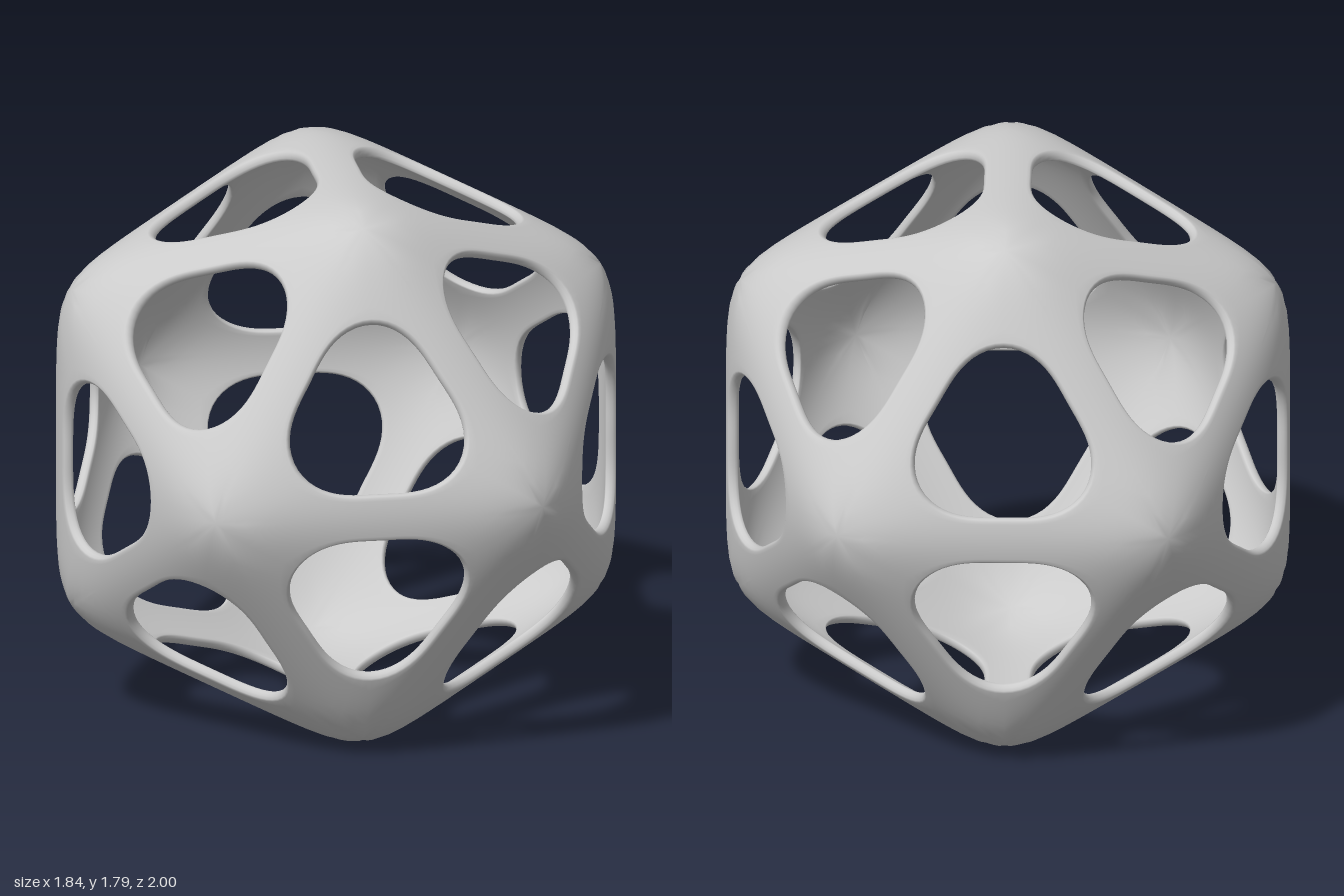
import * as THREE from 'three';
import { mergeVertices } from 'three/addons/utils/BufferGeometryUtils.js';

// Icosahedron corners: one at each z pole, two staggered rings of five between
function icosahedronCorners() {
  const corners = [new THREE.Vector3(0, 0, 1), new THREE.Vector3(0, 0, -1)];
  const ringZ = 1 / Math.sqrt(5), ringR = 2 / Math.sqrt(5);
  for (let i = 0; i < 5; i++) {
    const a = (i * 2 * Math.PI) / 5;
    corners.push(new THREE.Vector3(ringR * Math.cos(a), ringR * Math.sin(a), ringZ));
    corners.push(new THREE.Vector3(-ringR * Math.cos(a), -ringR * Math.sin(a), -ringZ));
  }
  return corners;
}

// Each face as a frame: outward normal n, u towards one corner, v across
function faceFrames(corners) {
  const frames = [];
  const near = (a, b) => a.dot(b) > 0.4;
  for (let i = 0; i < 12; i++)
    for (let j = i + 1; j < 12; j++)
      for (let k = j + 1; k < 12; k++) {
        const [a, b, c] = [corners[i], corners[j], corners[k]];
        if (!near(a, b) || !near(b, c) || !near(a, c)) continue;
        const n = a.clone().add(b).add(c).normalize();
        const u = a.clone().addScaledVector(n, -a.dot(n)).normalize();
        frames.push({ n, u, v: n.clone().cross(u) });
      }
  return frames;
}

export function createModel() {
  const frames = faceFrames(icosahedronCorners());

  // Distance from the centre to a softened icosahedron; a lower power is rounder
  const reach = (dir, h, power) => {
    let sum = 0;
    for (const f of frames) sum += Math.max(0, f.n.dot(dir)) ** power;
    return h * sum ** (-1 / power);
  };

  // Shell section: outer skin to the hole (w = 0), round the rim, back inside (w = 1)
  const section = [];
  const skinSteps = 8, rimSteps = 5;
  for (let i = 0; i < skinSteps; i++) section.push({ t: i / skinSteps, bulge: 0, w: 0 });
  for (let i = 0; i <= rimSteps; i++) {
    const a = (Math.PI * i) / rimSteps;
    section.push({ t: 1, bulge: 0.012 * Math.sin(a), w: (1 - Math.cos(a)) / 2 });
  }
  for (let i = skinSteps - 1; i >= 0; i--) section.push({ t: i / skinSteps, bulge: 0, w: 1 });

  const positions = [], index = [];
  const around = 72, rows = section.length;
  const edgeReach = 0.38197; // tangent of the angle from face centre to edge
  for (const { n, u, v } of frames) {
    const base = positions.length / 3;
    for (let i = 0; i < around; i++) {
      const a = (i * 2 * Math.PI) / around;
      const fromEdge = (a % (2 * Math.PI / 3)) - Math.PI / 3;
      const border = edgeReach / Math.cos(fromEdge);
      const hole = 0.332 + 0.035 * Math.cos(3 * a); // rounded triangle
      for (const { t, bulge, w } of section) {
        const r = border + (hole - border) * t - bulge;
        const dir = n.clone()
          .addScaledVector(u, r * Math.cos(a))
          .addScaledVector(v, r * Math.sin(a))
          .normalize();
        const d = (1 - w) * reach(dir, 0.869, 18) + w * reach(dir, 0.844, 14);
        positions.push(dir.x * d, dir.y * d, dir.z * d);
      }
      for (let j = 0; j < rows - 1; j++) {
        const p = base + i * rows + j;
        const q = base + ((i + 1) % around) * rows + j;
        index.push(p, q, q + 1, p, q + 1, p + 1);
      }
    }
  }

  let geometry = new THREE.BufferGeometry();
  geometry.setAttribute('position', new THREE.Float32BufferAttribute(positions, 3));
  geometry.setIndex(index);
  geometry = mergeVertices(geometry, 1e-4); // joins neighbouring faces smoothly
  geometry.computeVertexNormals();

  const shell = new THREE.Mesh(geometry, new THREE.MeshStandardMaterial({ color: 0xcccccc }));
  shell.name = 'openIcosahedronShell';
  shell.position.y = 0.895;

  const model = new THREE.Group();
  model.name = 'openIcosahedron';
  model.add(shell);
  return model;
}
